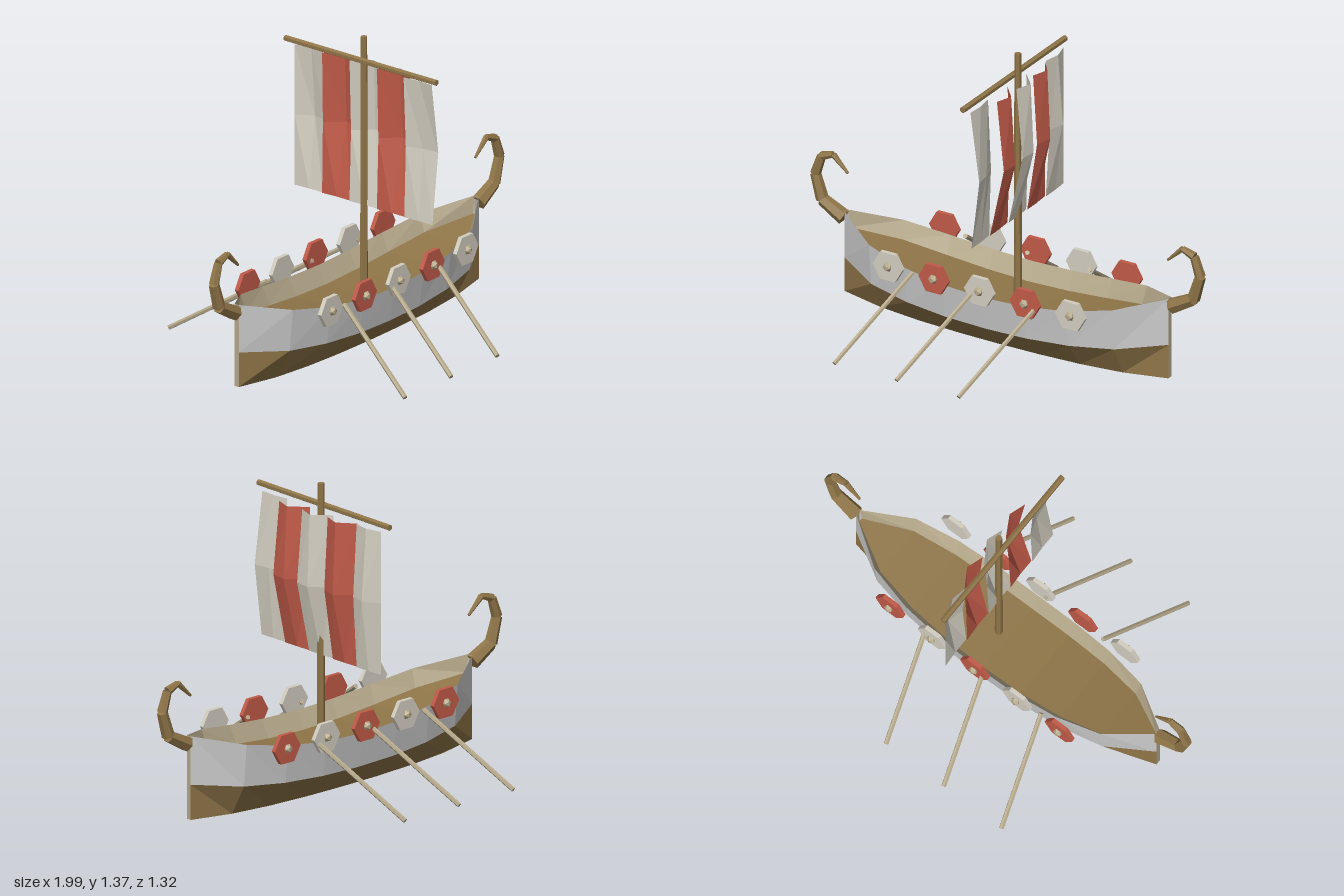
import * as THREE from 'three';

const mat = (color) => new THREE.MeshStandardMaterial({ color, flatShading: true, side: THREE.DoubleSide });
const GREY = mat(0xcccccc), CLOTH = mat(0xd2cdc0), RED = mat(0xc05a48);
const WOOD = mat(0x8f7548), TAN = mat(0xb5a88a);

// Faceted surface through equal-length rows of points
function loft(rows, material, name) {
  const n = rows[0].length, index = [];
  for (let i = 0; i < rows.length - 1; i++) {
    for (let j = 0; j < n - 1; j++) {
      const a = i * n + j, b = a + n;
      index.push(a, b, a + 1, b, b + 1, a + 1);
    }
  }
  const geo = new THREE.BufferGeometry();
  geo.setAttribute('position', new THREE.Float32BufferAttribute(rows.flat(2), 3));
  geo.setIndex(index);
  geo.computeVertexNormals();
  const mesh = new THREE.Mesh(geo, material);
  mesh.name = name;
  return mesh;
}

// Straight tapered pole between two points
function pole(from, to, r0, r1, sides, material, name) {
  const a = new THREE.Vector3(...from), b = new THREE.Vector3(...to);
  const dir = b.clone().sub(a);
  const mesh = new THREE.Mesh(new THREE.CylinderGeometry(r1, r0, dir.length(), sides), material);
  mesh.position.copy(a).add(b).multiplyScalar(0.5);
  mesh.quaternion.setFromUnitVectors(new THREE.Vector3(0, 1, 0), dir.normalize());
  mesh.name = name;
  return mesh;
}

function createHull() {
  const hull = new THREE.Group();
  hull.name = 'hull';
  const halfWidths = [0.21, 0.207, 0.19, 0.145, 0.012];
  const stations = [];
  for (let i = -4; i <= 4; i++) {
    const t = i / 4, w = halfWidths[Math.abs(i)], end = Math.abs(i) === 4;
    const x = 0.82 * t, q = t * t;
    stations.push({
      top: (s) => [x, 0.28 + 0.12 * q, s * w],
      chine: (s) => [x, 0.12 + 0.06 * q, s * w * (end ? 1 : 0.88)],
      keel: (s) => [x, 0.003 + 0.017 * q, s * w * (end ? 1 : 0.36)],
      deck: (s) => [x * 0.985, 0.2 + 0.12 * q, s * w * 0.81],
    });
  }
  for (const s of [1, -1]) {
    hull.add(loft(stations.map((p) => [p.top(s), p.chine(s)]), GREY, 'upperStrake'));
    hull.add(loft(stations.map((p) => [p.chine(s), p.keel(s)]), WOOD, 'lowerStrake'));
    hull.add(loft(stations.map((p) => [p.top(s), p.deck(s)]), TAN, 'innerWall'));
  }
  hull.add(loft(stations.map((p) => [p.keel(1), p.keel(-1)]), WOOD, 'bottom'));
  hull.add(loft(stations.map((p) => [p.deck(1), p.deck(-1)]), WOOD, 'deck'));
  for (const p of [stations[0], stations[8]]) {
    hull.add(loft([1, -1].map((s) => [p.top(s), p.chine(s), p.keel(s)]), TAN, 'stemFace'));
  }
  return hull;
}

// Curled post built from tapering straight pieces
function createCurl(s) {
  const curl = new THREE.Group();
  curl.name = s > 0 ? 'bowCurl' : 'sternCurl';
  const path = [[0.83, 0.365], [0.94, 0.425], [0.975, 0.54], [0.945, 0.63], [0.885, 0.652], [0.81, 0.58]];
  const radii = [0.036, 0.029, 0.024, 0.02, 0.014, 0.006];
  for (let i = 0; i < 5; i++) {
    const [a, b] = [path[i], path[i + 1]];
    curl.add(pole([s * a[0], a[1], 0], [s * b[0], b[1], 0], radii[i], radii[i + 1], 6, WOOD, 'curlPiece'));
  }
  return curl;
}

// Five overlapping cloth strips, each bellied towards the bow
function createSail() {
  const sail = new THREE.Group();
  sail.name = 'sail';
  const topX = [[0.045, 0.05, 0.04], [0.085, 0.11, 0.045], [0.09, 0.115, 0.045], [0.08, 0.105, 0.045], [0.05, 0.065, 0.045]];
  const midX = [[0.09, 0.08, 0.055], [0.12, 0.13, 0.055], [0.12, 0.13, 0.055], [0.1, 0.12, 0.05], [0.07, 0.09, 0.045]];
  for (let i = 0; i < 5; i++) {
    const row = (xs, y) => xs.map((x, j) => [x, y, 0.38 - 0.152 * i - 0.076 * j]);
    const rows = [row(topX[i], 1.245), row(midX[i], 0.92), row([0.05, 0.05, 0.045], 0.595)];
    sail.add(loft(rows, i % 2 ? RED : CLOTH, 'sailStrip'));
  }
  return sail;
}

// Six-sided shield with a central boss
function createShield(x, s, material) {
  const shield = new THREE.Group();
  shield.name = 'shield';
  const board = new THREE.Mesh(new THREE.CylinderGeometry(0.075, 0.075, 0.02, 6), material);
  board.rotation.set(Math.PI / 2, Math.PI / 6, 0, 'XYZ');
  board.name = 'shieldBoard';
  const boss = new THREE.Mesh(new THREE.IcosahedronGeometry(0.022, 0), TAN);
  boss.position.z = 0.01 * s;
  boss.name = 'shieldBoss';
  shield.add(board, boss);
  shield.position.set(x, 0.32, 0.23 * s);
  return shield;
}

export function createModel() {
  const ship = new THREE.Group();
  ship.name = 'longship';
  ship.add(createHull(), createCurl(1), createCurl(-1), createSail());
  ship.add(pole([0.05, 0.19, 0], [0.05, 1.375, 0], 0.018, 0.015, 6, WOOD, 'mast'));
  ship.add(pole([0.03, 1.27, -0.42], [0.03, 1.27, 0.42], 0.014, 0.014, 6, WOOD, 'yard'));

  for (const s of [1, -1]) {
    for (let i = 0; i < 5; i++) {
      const red = (i % 2 === 1) === (s > 0);
      ship.add(createShield((i - 2) * 0.231, s, red ? RED : CLOTH));
    }
    for (let i = 0; i < 3; i++) {
      const x = -0.35 + 0.315 * i;
      ship.add(pole([x, 0.31, 0.215 * s], [x - 0.125, 0.025, 0.655 * s], 0.011, 0.011, 6, TAN, 'oar'));
    }
  }
  return ship;
}
